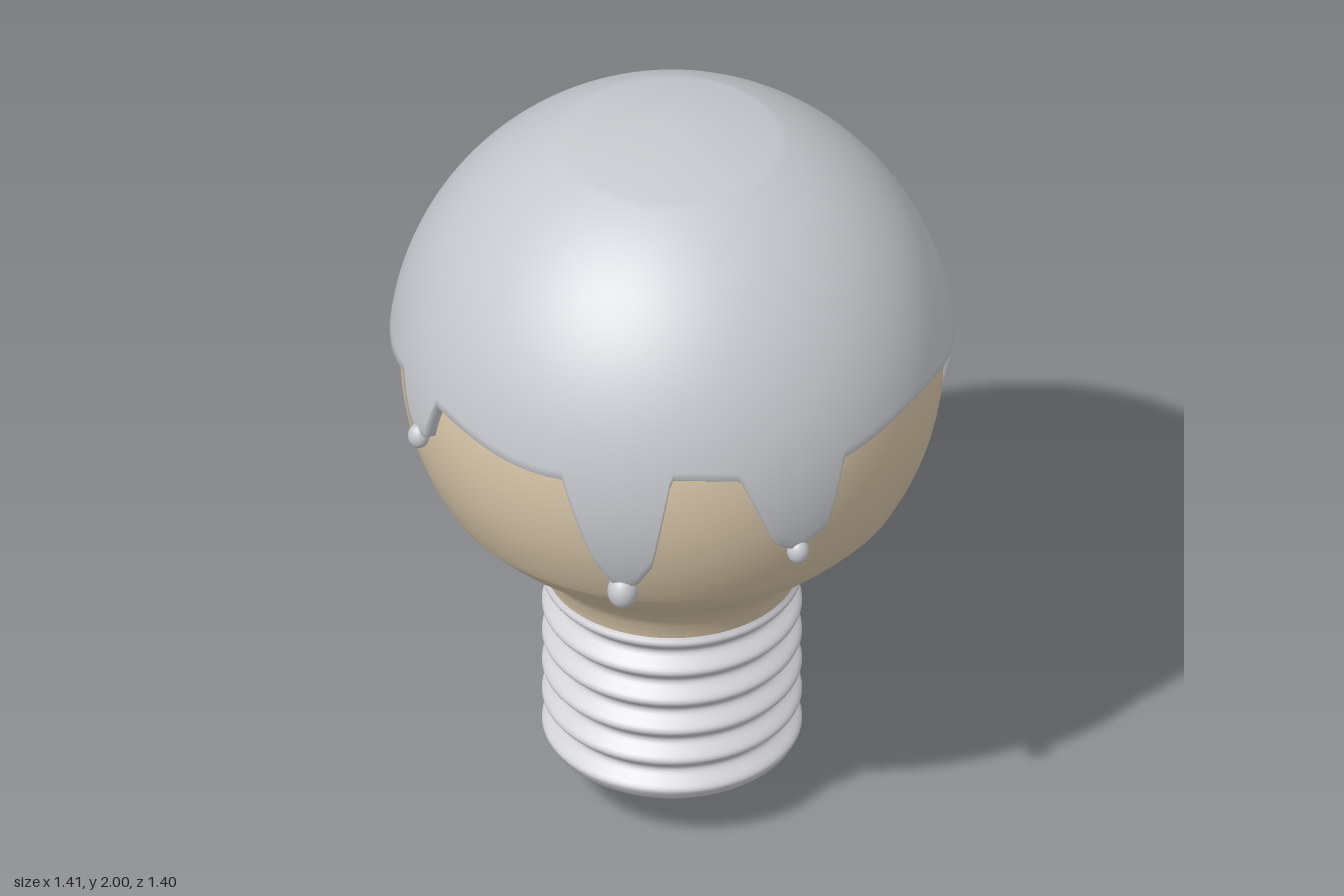
import * as THREE from 'three';

const BULB_Y = 1.29, BULB_R = 0.67, COAT = 0.03;
const RAD = Math.PI / 180;

// Drip outlines: [angle in degrees from the front towards +x, edge height]
const DRIPS = [
  [[-37.5, 1.37], [-31, 1.13], [-28, 1.06], [-25.5, 1.03], [-22, 1.06], [-18.6, 1.13], [-14.7, 1.4]],
  [[0, 1.38], [7.6, 1.17], [12.5, 1.13], [19, 1.18], [23, 1.37]],
  [[81.5, 1.37], [84.5, 1.12], [86.5, 0.98], [90, 0.95], [93.5, 0.98], [95.5, 1.12], [98.5, 1.4]],
  [[151, 1.38], [155, 1.24], [161, 1.2], [164.5, 1.19], [170, 1.22], [175, 1.31], [178, 1.34],
    [183, 1.2], [187, 1.07], [190, 1.04], [193, 1.07], [198, 1.4]],
  [[273, 1.38], [278, 1.29], [281.5, 1.26], [285, 1.29], [288, 1.4]],
];

// Beads hanging at the drip tips: [angle, height, radius]
const BEADS = [
  [-25.5, 1.02, 0.038], [13, 1.12, 0.028], [90, 0.957, 0.037],
  [164.5, 1.195, 0.028], [190, 1.05, 0.036], [281.5, 1.26, 0.027],
];

const sphereRadius = (y) => Math.sqrt(Math.max(0, BULB_R ** 2 - (y - BULB_Y) ** 2));

// Height of the coating's lower edge: a gentle wave, pulled down by the drips
function edgeHeight(deg) {
  const wave = 1.382 + 0.018 * Math.cos(6 * (deg - 46) * RAD);
  for (const drip of DRIPS) {
    for (const d of [deg, deg - 360]) {
      for (let i = 0; i < drip.length - 1; i++) {
        const [a, ya] = drip[i], [b, yb] = drip[i + 1];
        if (d >= a && d <= b) return Math.min(wave, ya + (yb - ya) * (d - a) / (b - a));
      }
    }
  }
  return wave;
}

function coatingGeometry() {
  const cols = 480, rows = 36, start = 0.39;
  const outerR = BULB_R + COAT;
  const pos = [0, 2, 0], index = [];
  const total = rows + 3;
  for (let i = 0; i < cols; i++) {
    const deg = i * 360 / cols, s = Math.sin(deg * RAD), c = Math.cos(deg * RAD);
    const edge = edgeHeight(deg);
    const end = Math.acos((edge - BULB_Y) / outerR);
    const put = (r, y) => pos.push(r * s, y, r * c);
    for (let j = 0; j <= rows; j++) {
      const t = start + (end - start) * j / rows;
      const y = BULB_Y + outerR * Math.cos(t);
      put(y > BULB_Y ? outerR * Math.sin(t) : sphereRadius(y) + COAT, y);
    }
    // Rounded rim tucked into the bulb
    put(sphereRadius(edge) + 0.018, edge - 0.01);
    put(sphereRadius(edge) - 0.012, edge - 0.012);
  }
  for (let i = 0; i < cols; i++) {
    const a = 1 + i * total, b = 1 + ((i + 1) % cols) * total;
    index.push(0, a, b);
    for (let j = 0; j < total - 1; j++) {
      index.push(a + j, a + j + 1, b + j + 1, a + j, b + j + 1, b + j);
    }
  }
  const geo = new THREE.BufferGeometry();
  geo.setAttribute('position', new THREE.Float32BufferAttribute(pos, 3));
  geo.setIndex(index);
  geo.computeVertexNormals();
  return geo;
}

export function createModel() {
  const model = new THREE.Group();
  model.name = 'drippingBulb';

  const material = (name, color) => {
    const m = new THREE.MeshStandardMaterial({ color });
    m.name = name;
    return m;
  };
  const glass = material('warmGlass', 0xd8c6a9);
  const coat = material('greyCoating', 0xc6c8cd);
  const metal = material('paleMetal', 0xd2d2d7);
  const black = material('blackInsulator', 0x16161f);

  const add = (name, geometry, mat) => {
    const mesh = new THREE.Mesh(geometry, mat);
    mesh.name = name;
    model.add(mesh);
    return mesh;
  };
  const lathe = (points) =>
    new THREE.LatheGeometry(points.map(([x, y]) => new THREE.Vector2(x, y)), 96);

  // Glass bulb: flared neck running into a sphere
  const neck = new THREE.SplineCurve([
    [0.31, 0.64], [0.322, 0.68], [0.345, 0.725], [0.405, 0.79], [0.507, 0.875], [0.578, 0.95],
  ].map(([x, y]) => new THREE.Vector2(x, y)));
  const bulb = neck.getPoints(30).map((p) => [p.x, p.y]);
  const from = Math.acos((0.95 - BULB_Y) / BULB_R);
  for (let i = 1; i <= 48; i++) {
    const t = from * (1 - i / 48);
    bulb.push([BULB_R * Math.sin(t), BULB_Y + BULB_R * Math.cos(t)]);
  }
  add('glassBulb', lathe(bulb), glass);

  // Coating poured over the top, with its hanging beads
  add('coating', coatingGeometry(), coat);
  BEADS.forEach(([deg, y, r], i) => {
    const bead = add('dripBead' + (i + 1), new THREE.SphereGeometry(r, 24, 16), coat);
    const out = sphereRadius(y) + 0.025;
    bead.position.set(out * Math.sin(deg * RAD), y, out * Math.cos(deg * RAD));
    bead.scale.y = 1.22;
  });

  // Ridged screw base
  const screw = [[0.2, 0.128], [0.24, 0.13], [0.285, 0.145], [0.308, 0.163]];
  for (let i = 0; i <= 80; i++) {
    const y = 0.18 + (0.648 - 0.18) * i / 80;
    screw.push([0.303 + 0.018 * Math.cos(2 * Math.PI * (y - 0.635) / 0.089), y]);
  }
  screw.push([0.31, 0.66], [0.29, 0.664]);
  add('screwBase', lathe(screw), metal);

  // Insulator ring and end contact
  add('insulator', lathe([[0.1, 0.066], [0.165, 0.068], [0.2, 0.085], [0.235, 0.11], [0.238, 0.132]]), black);
  add('endContact', lathe([
    [0, 0.005], [0.05, 0.008], [0.09, 0.017], [0.12, 0.031], [0.138, 0.048], [0.138, 0.07],
  ]), metal);

  return model;
}
